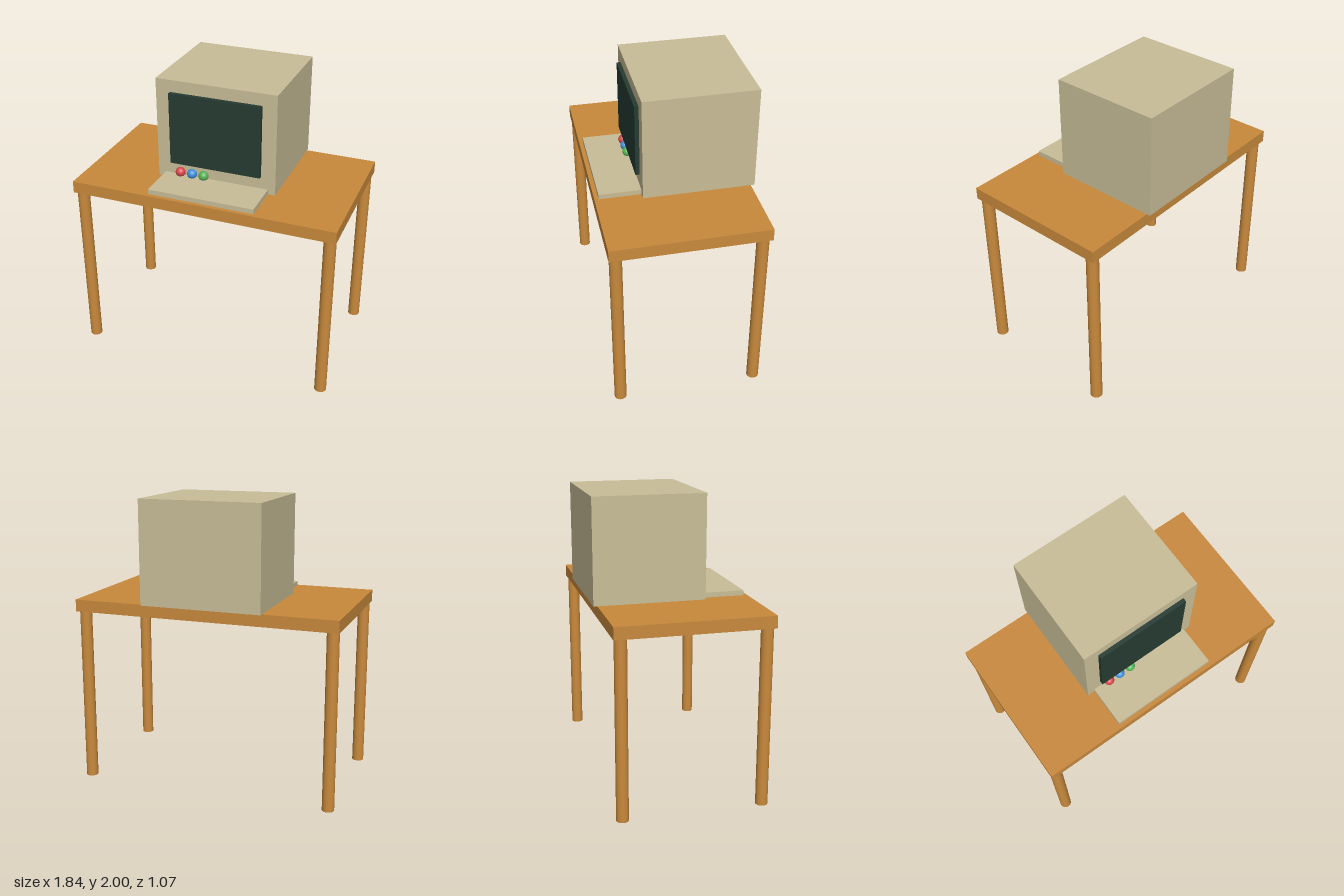
import * as THREE from 'three';

export function createModel() {
  const model = new THREE.Group();
  const paint = (color) => new THREE.MeshStandardMaterial({ color });
  const wood = paint(0xc98a3c);
  const beige = paint(0xc9be98);
  const glass = paint(0x263b33);

  const add = (name, geometry, material, x, y, z) => {
    const mesh = new THREE.Mesh(geometry, material);
    mesh.name = name;
    mesh.position.set(x, y, z);
    model.add(mesh);
  };
  // Box given by its lower and upper corners
  const addBox = (name, material, [x0, y0, z0], [x1, y1, z1]) =>
    add(name, new THREE.BoxGeometry(x1 - x0, y1 - y0, z1 - z0), material,
      (x0 + x1) / 2, (y0 + y1) / 2, (z0 + z1) / 2);

  // Table
  const under = 1.212, top = 1.295;
  addBox('tableTop', wood, [-0.922, under, -0.508], [0.922, top, 0.532]);
  const leg = new THREE.CylinderGeometry(0.041, 0.041, under, 32);
  for (const x of [-0.873, 0.873]) {
    for (const [end, z] of [['front', 0.484], ['back', -0.456]]) {
      add(`${end}${x > 0 ? 'Left' : 'Right'}Leg`, leg, wood, x, under / 2, z);
    }
  }

  // Computer, standing slightly over the back edge
  addBox('monitorCase', beige, [-0.419, top, -0.534], [0.419, 2, 0.221]);
  addBox('screen', glass, [-0.319, 1.416, 0.208], [0.319, 1.917, 0.249]);
  addBox('keyboard', beige, [-0.369, top, 0.211], [0.369, 1.329, 0.504]);

  // Round coloured buttons below the screen
  const button = new THREE.SphereGeometry(0.034, 32, 20);
  [['red', 0xd9474b], ['blue', 0x3f8fdc], ['green', 0x56b356]].forEach(([name, color], i) =>
    add(`${name}Button`, button, paint(color), -0.254 + i * 0.084, 1.35, 0.231));

  return model;
}
